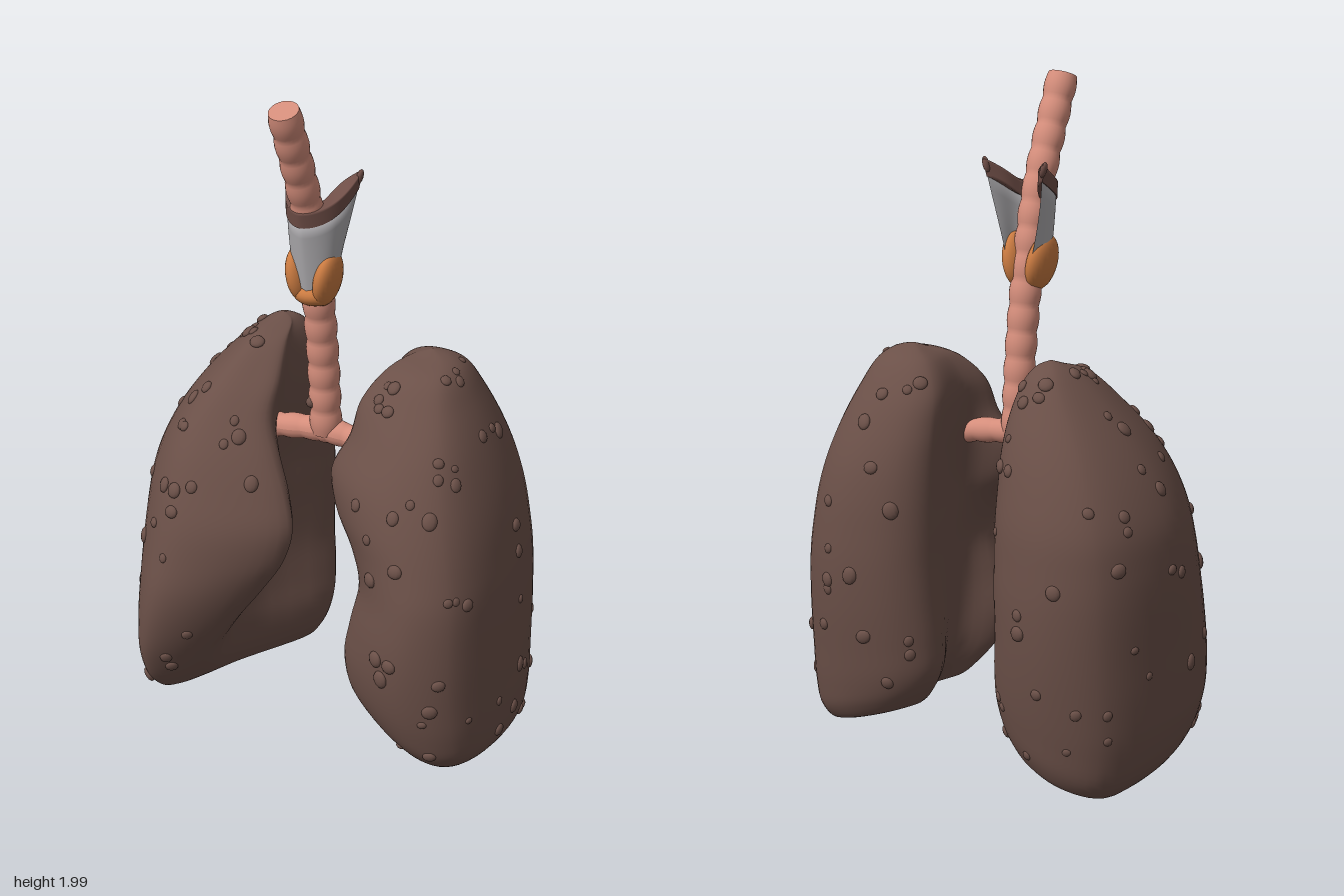
import * as THREE from 'three';
import { mergeGeometries } from 'three/addons/utils/BufferGeometryUtils.js';

const V = (x, y, z) => new THREE.Vector3(x, y, z);
const mix = THREE.MathUtils.lerp;
const material = (name, color, side = THREE.FrontSide) => {
  const m = new THREE.MeshStandardMaterial({ color, side });
  m.name = name;
  return m;
};

// Lung levels: y, outer x, inner back x, hollow x, front tip x, back z, front z, tip z
const RIGHT_LUNG = [
  [1.225, .26, .19, .19, .19, -.15, -.07, -.09],
  [1.19, .31, .165, .17, .165, -.20, .03, -.01],
  [1.10, .40, .14, .16, .145, -.26, .12, .07],
  [1.00, .48, .13, .165, .14, -.31, .20, .13],
  [.90, .54, .13, .18, .095, -.345, .265, .16],
  [.80, .58, .13, .20, .05, -.37, .31, .18],
  [.70, .595, .13, .21, .025, -.38, .345, .20],
  [.60, .60, .13, .225, .05, -.385, .365, .21],
  [.45, .60, .13, .25, .115, -.38, .38, .22],
  [.30, .60, .12, .27, .20, -.365, .37, .24],
  [.17, .59, .12, .28, .28, -.345, .34, .24],
  [.06, .555, .15, .30, .34, -.32, .285, .20],
  [.01, .50, .20, .33, .38, -.285, .22, .14],
  [.08, .46, .29, .37, .40, -.17, .11, .06],
];
const LEFT_LUNG = [
  [1.21, .33, .23, .23, .23, -.14, -.05, -.07],
  [1.18, .38, .18, .185, .18, -.19, .04, 0],
  [1.10, .43, .13, .15, .13, -.25, .12, .07],
  [1.00, .48, .12, .155, .11, -.30, .20, .10],
  [.90, .52, .12, .17, .065, -.335, .26, .12],
  [.80, .55, .12, .19, .09, -.355, .30, .14],
  [.70, .57, .12, .205, .16, -.365, .325, .18],
  [.60, .585, .12, .22, .195, -.37, .345, .20],
  [.45, .595, .115, .23, .17, -.365, .355, .20],
  [.30, .60, .11, .24, .15, -.35, .345, .20],
  [.18, .60, .115, .25, .17, -.335, .32, .20],
  [.10, .585, .15, .28, .22, -.315, .285, .17],
  [.055, .535, .20, .33, .28, -.28, .225, .12],
  [.12, .47, .29, .36, .34, -.17, .11, .06],
];

const COLS = 60, ROWS = 75;

// Smooth bean-shaped cross-section of a lung at one level;
// tilt raises the front of the base, corner trims the outer front
function lungSection([y, o, ib, h, tip, back, front, tipZ], tilt, corner) {
  const c = (back + front) / 2, w = o - ib, wf = o - tip;
  const pts = [
    [o, c], [o - .15 * w, mix(c, back, .78)], [o - .47 * w, back],
    [ib + .16 * w, mix(c, back, .9)], [ib, mix(c, back, .62)],
    [h, mix(c, front, .22)], [tip, tipZ],
    [tip + .25 * wf, mix(tipZ, front, .75)], [o - .42 * wf, front],
    [o - corner * wf, mix(c, front, .9 - .9 * corner)],
  ].map(([x, z]) => V(x, 0, z));
  const ring = new THREE.CatmullRomCurve3(pts, true).getPoints(COLS).slice(0, COLS);
  // the base also rises towards the middle of the body
  const low = Math.max(0, 1 - y / .6);
  for (const p of ring) p.y = y + low * (.35 * Math.max(0, .48 - p.x) + tilt * Math.max(0, p.z + .2));
  return ring;
}

function lungGeometry(levels, side, tilt, corner) {
  const rings = levels.map(level => lungSection(level, tilt, corner));
  const cap = (ring, dy) => {
    const m = V(0, 0, 0);
    ring.forEach(p => m.addScaledVector(p, 1 / COLS));
    m.y += dy;
    return ring.map(() => m.clone());
  };
  rings.unshift(cap(rings[0], .014));
  rings.push(cap(rings[rings.length - 1], .03));
  const pos = new Float32Array((ROWS + 1) * COLS * 3), index = [];
  for (let j = 0; j < COLS; j++) {
    const column = new THREE.CatmullRomCurve3(rings.map(r => r[j]));
    column.getPoints(ROWS).forEach((p, i) => pos.set([p.x * side, p.y, p.z], (i * COLS + j) * 3));
  }
  for (let i = 0; i < ROWS; i++) for (let j = 0; j < COLS; j++) {
    const a = i * COLS + j, b = i * COLS + (j + 1) % COLS, c = a + COLS, d = b + COLS;
    if (side > 0) index.push(a, c, b, b, c, d);
    else index.push(a, b, c, b, d, c);
  }
  const g = new THREE.BufferGeometry();
  g.setAttribute('position', new THREE.BufferAttribute(pos, 3));
  g.setIndex(index);
  g.computeVertexNormals();
  return g;
}

// Small flattened nodules scattered over the outward faces of a lung
function noduleGeometry(lung, seed, count) {
  const rand = () => (seed = (seed * 16807) % 2147483647) / 2147483647;
  const { position, normal } = lung.attributes, list = [];
  for (let k = 0; k < count; k++) {
    const row = 8 + Math.floor(rand() * 54), col = (40 + Math.floor(rand() * 41)) % COLS;
    const id = row * COLS + col, r = .011 + .013 * rand();
    const n = V(0, 0, 0).fromBufferAttribute(normal, id);
    const q = new THREE.Quaternion().setFromUnitVectors(V(0, 0, 1), n);
    const p = V(0, 0, 0).fromBufferAttribute(position, id);
    list.push(new THREE.SphereGeometry(1, 12, 8)
      .applyMatrix4(new THREE.Matrix4().compose(p, q, V(r, r * (.8 + .4 * rand()), r * .5))));
  }
  return mergeGeometries(list);
}

// Tube whose radius swells once per cartilage ring
function ringedTube(points, radius, rings) {
  const curve = new THREE.CatmullRomCurve3(points), segs = rings * 8, sides = 24;
  const g = new THREE.TubeGeometry(curve, segs, radius, sides), p = g.attributes.position;
  for (let i = 0; i < p.count; i++) {
    const t = Math.floor(i / (sides + 1)) / segs, c = curve.getPointAt(t);
    const v = V(0, 0, 0).fromBufferAttribute(p, i).sub(c);
    v.multiplyScalar(.92 + .11 * Math.abs(Math.sin(Math.PI * rings * t))).add(c);
    p.setXYZ(i, v.x, v.y, v.z);
  }
  g.computeVertexNormals();
  return g;
}

// Thick curved wall open at the back; low(a) and high(a) are its edges, a from -1 to 1.
// Its section runs up the outside, over the top, down the inside and back underneath.
function wallGeometry(low, high, out, thick) {
  const g = new THREE.PlaneGeometry(2, 14, 48, 14), p = g.attributes.position;
  for (let i = 0; i < p.count; i++) {
    const a = p.getX(i), s = Math.round(p.getY(i) + 7);
    const inside = s > 6 && s < 14;
    const up = s === 14 ? 0 : inside ? (13 - s) / 6 : s / 6;
    const y = mix(low(a), high(a), up), t = (y - 1.45) / .3;
    const d = out - (inside ? thick * (1 - a ** 8) : 0);
    const front = .16 + .05 * t + d, back = .05 - .03 * t * t;
    p.setXYZ(i, (.062 + .037 * t + d) * Math.sin(a * Math.max(1.57, 2.5 - .95 * t)), y,
      mix(front, back, Math.abs(a) ** 1.5));
  }
  g.computeVertexNormals();
  return g;
}

export function createModel() {
  const model = new THREE.Group();
  const lungMat = material('lung brown', 0x6b5048);
  const airwayMat = material('airway pink', 0xd48d7b);
  const cartilageMat = material('cartilage grey', 0xaeacaf, THREE.DoubleSide);
  const rimMat = material('rim brown', 0x6f4e47, THREE.DoubleSide);
  const glandMat = material('gland orange', 0xcc7c42);
  const add = (name, geo, mat, parent = model) => {
    const m = new THREE.Mesh(geo, mat);
    m.name = name;
    parent.add(m);
    return m;
  };

  // Lungs with nodules
  for (const [name, levels, side, tilt, corner, seed] of [
    ['rightLung', RIGHT_LUNG, -1, .13, .19, 4177], ['leftLung', LEFT_LUNG, 1, 0, .12, 90211]]) {
    const group = new THREE.Group();
    group.name = name;
    model.add(group);
    const geo = lungGeometry(levels, side, tilt, corner);
    add(name + 'Body', geo, lungMat, group);
    add(name + 'Nodules', noduleGeometry(geo, seed, 65), lungMat, group);
  }

  // Windpipe with closed top, and the two branches
  const path = [V(0, .96, .04), V(0, 1.2, .06), V(0, 1.4, .088), V(0, 1.6, .128), V(0, 1.7, .158), V(0, 1.985, .275)];
  add('windpipe', ringedTube(path, .046, 14), airwayMat);
  const top = add('windpipeTop', new THREE.CircleGeometry(.0425, 24), airwayMat);
  top.position.copy(path[5]);
  top.lookAt(path[5].clone().add(V(0, .29, .125)));
  add('windpipeFork', new THREE.SphereGeometry(.04, 20, 14), airwayMat).position.set(0, .965, .04);
  for (const s of [-1, 1]) {
    add('bronchus', ringedTube([V(0, .965, .04), V(s * .1, .955, .04), V(s * .21, .94, .04)], .037, 3), airwayMat);
  }
  add('windpipeNodule', new THREE.SphereGeometry(.017, 12, 8), lungMat).position.set(-.028, 1.06, .078);

  // Voice box: grey wall with a thick brown horned rim
  const edge = a => 1.63 + .08 * a * a;
  add('larynxWall', wallGeometry(a => 1.435 + .04 * Math.abs(a), edge, 0, .02), cartilageMat);
  add('larynxRim', wallGeometry(edge, a => edge(a) + .045 + .01 * a ** 8, .003, .05), rimMat);
  for (const s of [-1, 1]) {
    const horn = add('larynxHorn', new THREE.SphereGeometry(.012, 12, 8), rimMat);
    horn.position.set(s * .099, 1.745, .028);
    horn.scale.set(.8, 2, 1);
    horn.rotation.z = s * -.3;
  }

  // Gland: two outward-leaning lobes joined low across the front
  for (const s of [-1, 1]) {
    const lobe = add('glandLobe', new THREE.SphereGeometry(1, 24, 16), glandMat);
    lobe.position.set(s * .042, 1.463, .107);
    lobe.scale.set(.034, .084, .066);
    lobe.rotation.set(.12, 0, s * -.18);
  }
  const bridge = add('glandBridge', new THREE.SphereGeometry(1, 24, 16), glandMat);
  bridge.position.set(0, 1.415, .11);
  bridge.scale.set(.062, .036, .056);

  return model;
}
